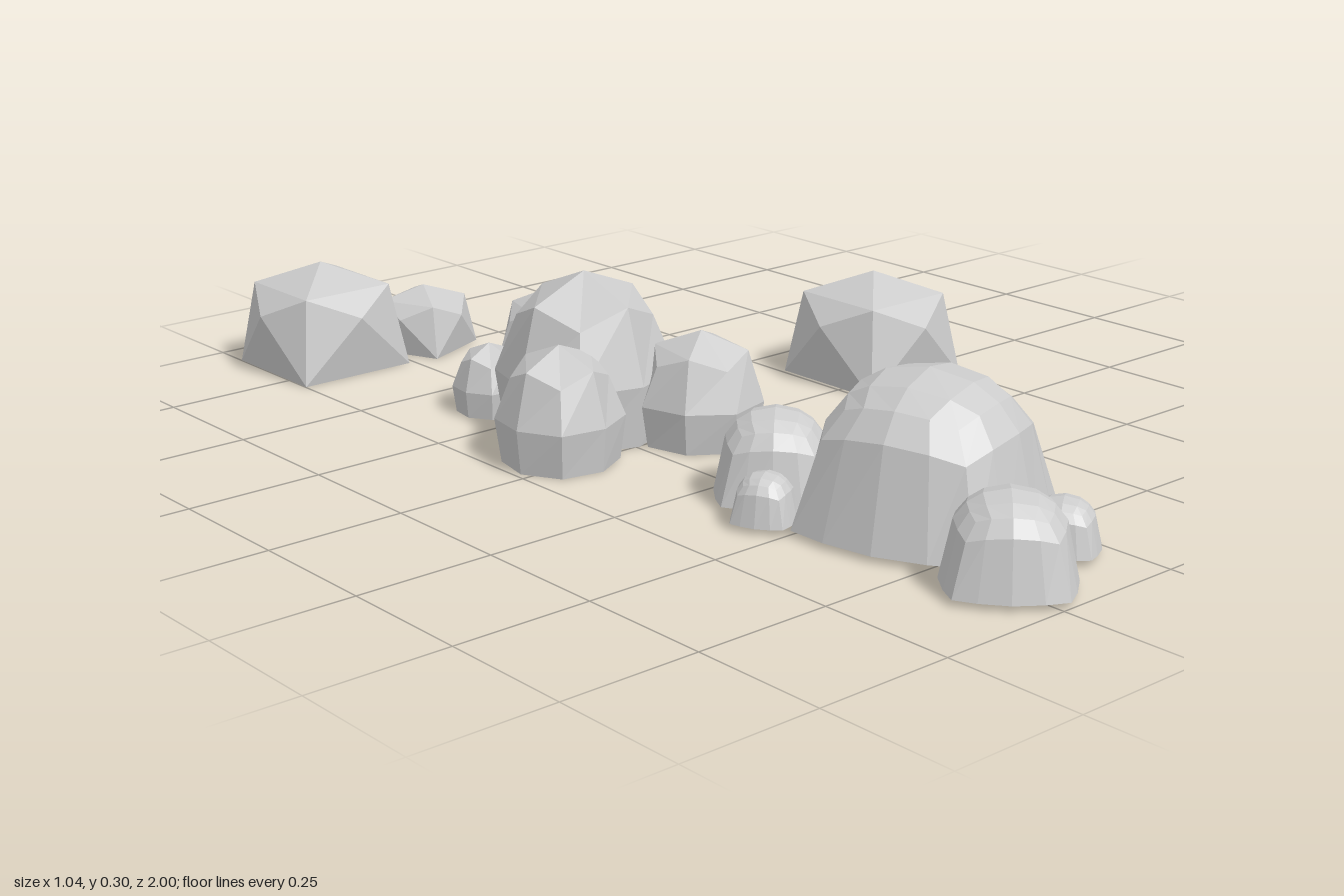
import * as THREE from 'three';
import { ConvexGeometry } from 'three/addons/geometries/ConvexGeometry.js';

const stone = new THREE.MeshStandardMaterial({ color: 0xcccccc, flatShading: true });

// Moves every vertex of a box by a rule and facets the result
function reshape(box, rule) {
  const g = box.toNonIndexed();
  const pos = g.attributes.position;
  const v = new THREE.Vector3();
  for (let i = 0; i < pos.count; i++) {
    rule(v.fromBufferAttribute(pos, i));
    pos.setXYZ(i, v.x, v.y, v.z);
  }
  g.computeVertexNormals();
  return g;
}

// Angular boulder: apex, four upper corners, four side tips, four base corners
function angularRock(r, h) {
  const pts = [new THREE.Vector3(0, h, 0)];
  for (let i = 0; i < 4; i++) {
    const a = (i * Math.PI) / 2;
    const ring = (radius, y, turn) =>
      pts.push(new THREE.Vector3(Math.cos(a + turn) * radius, y, Math.sin(a + turn) * radius));
    ring(r, h * 0.58, 0);
    ring(r * 0.95, h * 0.79, Math.PI / 4);
    ring(r * 1.2, 0, Math.PI / 4);
  }
  return new ConvexGeometry(pts);
}

// Rounded boulder: cube softened once, cut flat at the ground
function roundedRock(r, h) {
  const soften = [0, 1, 0.75, 0.56];
  return reshape(new THREE.BoxGeometry(2, 2, 2, 2, 2, 2), (v) => {
    const corners = Math.round(Math.abs(v.x) + Math.abs(v.y) + Math.abs(v.z));
    const s = soften[corners];
    if (v.y < -0.5) {
      const w = corners === 3 ? 0.68 : 0.93;
      v.set(v.x * w * r, 0, v.z * w * r);
    } else {
      v.set(v.x * s * r, h * (0.38 + 0.62 * v.y * s), v.z * s * r);
    }
  });
}

// Dome boulder: finer half cube rounded off, flaring towards a squarish base
function domeRock(r, h) {
  const base = 0.01;
  return reshape(new THREE.BoxGeometry(2, 1, 2, 4, 2, 4).translate(0, 0.5, 0), (v) => {
    const y = v.y;
    const len = v.length() || 1;
    const m = y < 0.01 ? Math.max(Math.abs(v.x), Math.abs(v.z)) : 1;
    const k = 0.4 * (1 - y);
    const w = m < 0.99 ? 1 : (1 - k) / len + k;
    const spread = w * (1 - 0.12 * Math.min(1, 2 * y)) * r;
    v.set(v.x * spread, base + (h - base) * Math.sqrt(y / len), v.z * spread);
  });
}

// Each rock: [x, z, radius, height, turn]
const clusters = [
  ['angularCluster', angularRock, [
    [-0.38, -0.81, 0.14, 0.205, 0],
    [-0.165, -0.775, 0.088, 0.127, 0.4],
    [-0.225, -0.93, 0.068, 0.098, 0.3],
  ]],
  ['loneRock', angularRock, [[0.38, -0.04, 0.142, 0.205, 0]]],
  ['roundedCluster', roundedRock, [
    [-0.25, -0.14, 0.155, 0.297, 0.05],
    [-0.39, -0.035, 0.108, 0.21, 0.15],
    [-0.125, 0.035, 0.115, 0.2, 0.6],
    [-0.175, -0.345, 0.1, 0.21, 0.5],
    [-0.315, -0.345, 0.066, 0.13, 0.2],
    [-0.07, -0.21, 0.068, 0.14, 0.25],
  ]],
  ['domeCluster', domeRock, [
    [-0.14, 0.61, 0.197, 0.268, 0.31],
    [-0.235, 0.875, 0.108, 0.157, Math.PI / 4],
    [-0.07, 0.84, 0.062, 0.095, 0.6],
    [-0.235, 0.35, 0.104, 0.157, Math.PI / 4],
    [-0.08, 0.39, 0.056, 0.09, 0.6],
    [-0.335, 0.435, 0.055, 0.09, 0.5],
  ]],
];

export function createModel() {
  const model = new THREE.Group();
  model.name = 'rocks';
  for (const [name, build, rocks] of clusters) {
    const cluster = new THREE.Group();
    cluster.name = name;
    rocks.forEach(([x, z, r, h, turn], i) => {
      const rock = new THREE.Mesh(build(r, h), stone);
      rock.name = i === 0 ? 'mainRock' : 'smallRock' + i;
      rock.position.set(x, 0, z);
      rock.rotation.y = turn;
      cluster.add(rock);
    });
    model.add(cluster);
  }
  return model;
}
